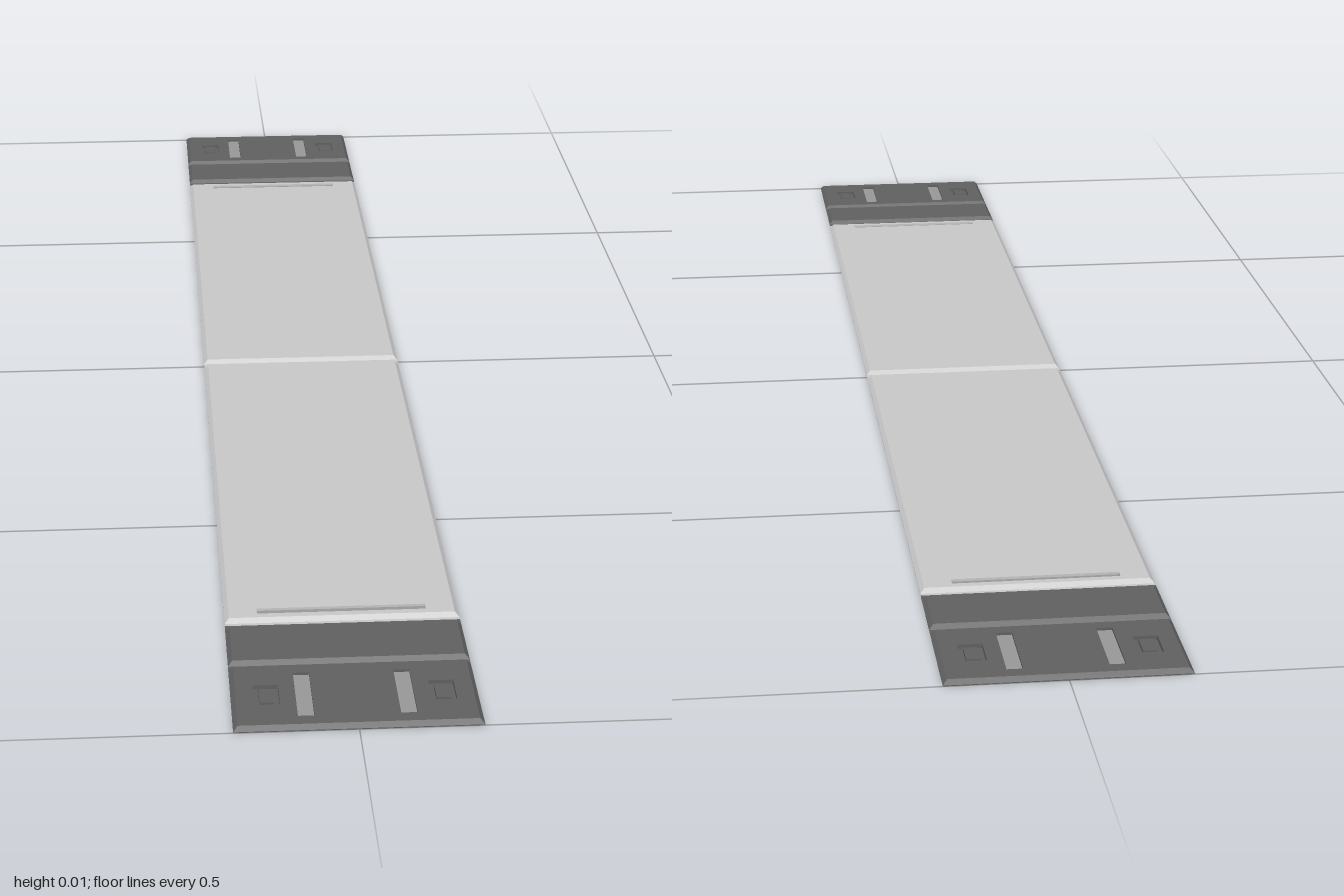
import * as THREE from 'three';

const lightGrey = new THREE.MeshStandardMaterial({ color: 0xc8c8c8 });
lightGrey.name = 'lightGrey';
const darkGrey = new THREE.MeshStandardMaterial({ color: 0x606060 });
darkGrey.name = 'darkGrey';
const midGrey = new THREE.MeshStandardMaterial({ color: 0x989898 });
midGrey.name = 'midGrey';

const HALF_WIDTH = 0.136, BASE = 0.001, HEIGHT = 0.006, CHAMFER = 0.005;

function mesh(name, geometry, material) {
  const m = new THREE.Mesh(geometry, material);
  m.name = name;
  return m;
}

// Thin slab between two z values, standing on height y
function slab(name, w, z0, z1, y, h, material, x = 0) {
  const m = mesh(name, new THREE.BoxGeometry(w, h, z1 - z0), material);
  m.position.set(x, y + h / 2, (z0 + z1) / 2);
  return m;
}

function rectangle(path, x, z, w, d) {
  path.moveTo(x - w / 2, z - d / 2);
  path.lineTo(x + w / 2, z - d / 2);
  path.lineTo(x + w / 2, z + d / 2);
  path.lineTo(x - w / 2, z + d / 2);
  path.closePath();
  return path;
}

// Plate with a chamfered top rim and rectangular recesses [x, z, width, depth]
function plate(name, z0, z1, recesses, material) {
  const mid = (z0 + z1) / 2, half = (z1 - z0) / 2;
  const shape = rectangle(new THREE.Shape(), 0, 0, HALF_WIDTH * 2, half * 2);
  for (const [x, z, w, d] of recesses) {
    shape.holes.push(rectangle(new THREE.Path(), x, mid - z, w, d));
  }
  const g = new THREE.ExtrudeGeometry(shape, { depth: HEIGHT - BASE, bevelEnabled: false });
  g.rotateX(-Math.PI / 2);
  const p = g.attributes.position;
  for (let i = 0; i < p.count; i++) {
    const x = p.getX(i), z = p.getZ(i);
    const rim = Math.abs(Math.abs(x) - HALF_WIDTH) < 1e-5;
    if (rim && p.getY(i) > 0.003) {
      p.setX(i, x - Math.sign(x) * CHAMFER);
      p.setZ(i, z - Math.sign(z) * CHAMFER);
    }
  }
  g.computeVertexNormals();
  const m = mesh(name, g, material);
  m.position.set(0, BASE, mid);
  return m;
}

// One half of the strip, running from the middle joint to +z
function createHalf(name) {
  const half = new THREE.Group();
  half.name = name;

  // Backing sheet
  half.add(slab('panelBacking', HALF_WIDTH * 2, 0, 0.762, 0, BASE, lightGrey));
  half.add(slab('endBacking', HALF_WIDTH * 2, 0.762, 1, 0, BASE, darkGrey));

  // Long panel with its cross slot
  half.add(plate('longPanel', 0.007, 0.757, [[0, 0.737, 0.196, 0.012]], lightGrey));
  half.add(slab('crossSlotFloor', 0.196, 0.731, 0.743, BASE, 0.002, midGrey));

  // Narrow band and end plate with recesses
  half.add(plate('narrowBand', 0.771, 0.857, [], darkGrey));
  const recesses = [];
  for (const s of [-1, 1]) {
    recesses.push([s * 0.056, 0.931, 0.018, 0.094], [s * 0.097, 0.931, 0.028, 0.042]);
    half.add(slab('longSlotFloor', 0.018, 0.884, 0.978, BASE, 0.002, midGrey, s * 0.056));
    half.add(slab('squareInlay', 0.016, 0.916, 0.946, BASE, 0.004, darkGrey, s * 0.097));
  }
  half.add(plate('endPlate', 0.865, 1, recesses, darkGrey));
  return half;
}

export function createModel() {
  const model = new THREE.Group();
  model.name = 'flatStrip';
  const front = createHalf('frontHalf');
  const back = createHalf('backHalf');
  back.rotation.y = Math.PI;
  model.add(front, back);
  return model;
}
